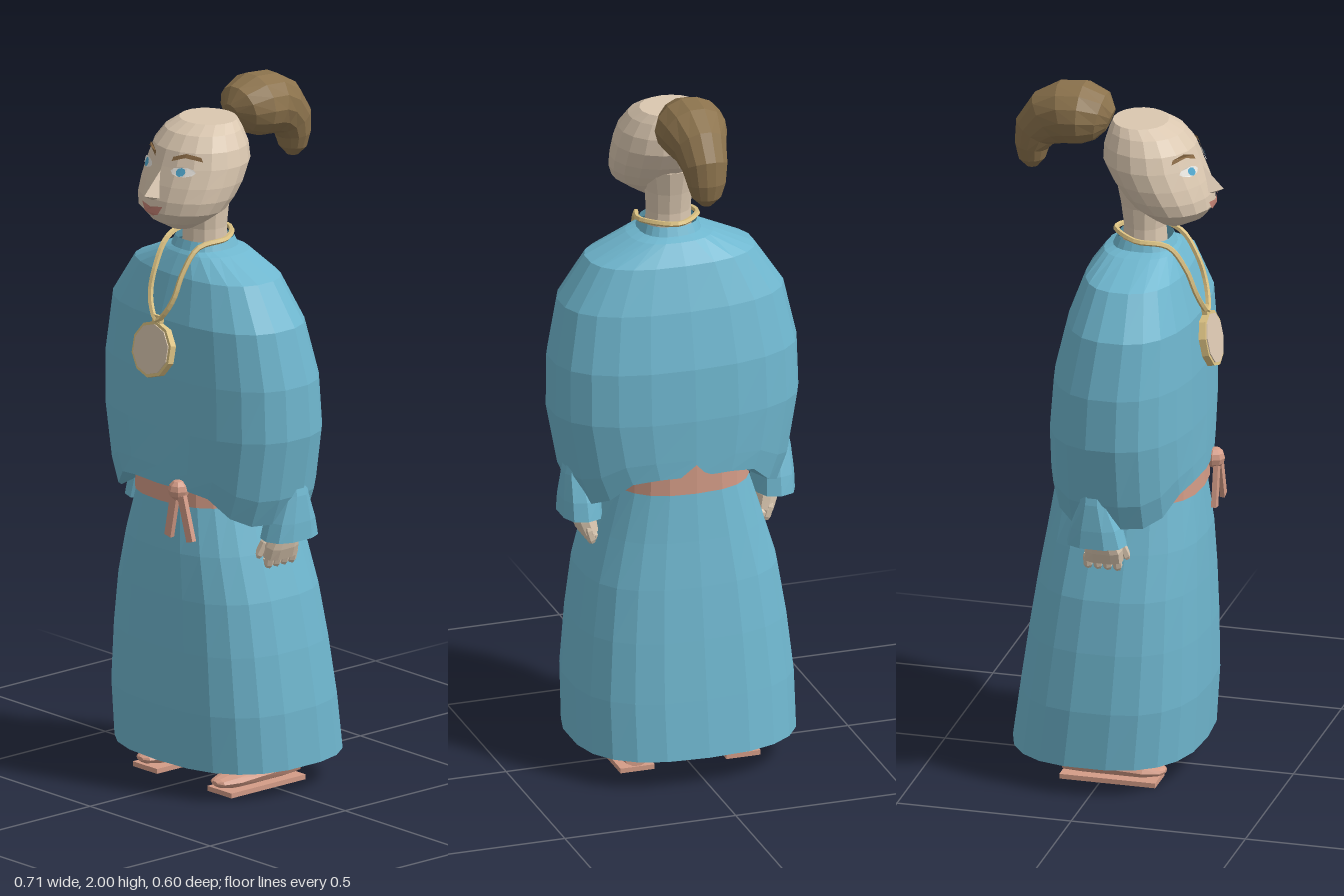
import * as THREE from 'three';
import { ConvexGeometry } from 'three/addons/geometries/ConvexGeometry.js';

const mat = (name, color, open = false) => {
  const m = new THREE.MeshStandardMaterial({ color, flatShading: true });
  m.name = name;
  if (open) m.side = THREE.DoubleSide;
  return m;
};

// Skin over a stack of equal rings of points
function skin(rings, caps = true) {
  const n = rings[0].length, pos = [], idx = [];
  rings.forEach((r) => r.forEach((p) => pos.push(...p)));
  for (let r = 0; r < rings.length - 1; r++) {
    for (let i = 0; i < n; i++) {
      const a = r * n + i, b = r * n + (i + 1) % n;
      idx.push(a, a + n, b, b, a + n, b + n);
    }
  }
  if (caps) {
    [0, rings.length - 1].forEach((r, end) => {
      const c = [0, 1, 2].map((k) => rings[r].reduce((s, p) => s + p[k], 0) / n);
      const ci = pos.length / 3;
      pos.push(...c);
      for (let i = 0; i < n; i++) {
        const a = r * n + i, b = r * n + (i + 1) % n;
        if (end) idx.push(ci, b, a); else idx.push(ci, a, b);
      }
    });
  }
  const g = new THREE.BufferGeometry();
  g.setAttribute('position', new THREE.Float32BufferAttribute(pos, 3));
  g.setIndex(idx);
  const flat = g.toNonIndexed();
  flat.computeVertexNormals();
  return flat;
}

// Horizontal superellipse rings; each row is [y, half width, front z, back z, centre x]
const pw = (v, e) => Math.sign(v) * Math.pow(Math.abs(v), 2 / e);
const rings = (rows, n, e = 2, drop = () => 0) => rows.map(([y, hx, zf, zb, cx = 0], r) =>
  Array.from({ length: n }, (_, i) => {
    const a = ((i + 0.5) / n) * Math.PI * 2, u = pw(Math.cos(a), e);
    return [cx + hx * u, y - drop(r, Math.abs(u)), (zf + zb) / 2 + ((zf - zb) / 2) * pw(Math.sin(a), e)];
  }));

const HEAD = [
  [1.61, 0.03, 0.19, 0.12], [1.64, 0.085, 0.245, 0.085], [1.675, 0.133, 0.272, 0.045],
  [1.71, 0.147, 0.268, 0.015], [1.75, 0.152, 0.255, -0.015], [1.8, 0.15, 0.235, -0.04],
  [1.845, 0.137, 0.218, -0.038], [1.885, 0.112, 0.185, -0.025], [1.908, 0.085, 0.14, -0.015],
];

// Front surface of the face at x, y
function faceZ(x, y) {
  const k = Math.max(1, HEAD.findIndex((h) => h[0] >= y));
  const a = HEAD[k - 1], b = HEAD[k], t = (y - a[0]) / (b[0] - a[0]);
  const [hx, zf, zb] = [1, 2, 3].map((j) => a[j] + (b[j] - a[j]) * t);
  return (zf + zb) / 2 + ((zf - zb) / 2) * Math.sqrt(Math.max(0, 1 - (x / hx) ** 2));
}

// Flat outline wrapped on the face
function patch(points, lift) {
  const g = new THREE.ShapeGeometry(new THREE.Shape(points.map((p) => new THREE.Vector2(...p))));
  const p = g.attributes.position;
  for (let i = 0; i < p.count; i++) p.setZ(i, faceZ(p.getX(i), p.getY(i)) + lift);
  g.computeVertexNormals();
  return g;
}
const oval = (cx, cy, rx, ry, n) => Array.from({ length: n }, (_, i) => {
  const a = (i / n) * Math.PI * 2;
  return [cx + rx * Math.cos(a), cy + ry * Math.sin(a)];
});

export function createModel() {
  const root = new THREE.Group();
  root.name = 'robedFigure';
  const robe = mat('robeBlue', 0x6fb7cf, true);
  const skinTone = mat('skin', 0xdac7b0);
  const salmon = mat('salmonLeather', 0xd49c87);
  const gold = mat('gold', 0xdcc283);
  const hair = mat('hairBrown', 0x8c734d);
  const white = mat('eyeWhite', 0xeeebe4, true);
  const blue = mat('irisBlue', 0x4fa6cc, true);
  const lip = mat('lips', 0xc58274, true);
  const brow = mat('browBrown', 0x8a6a45, true);
  const add = (name, geo, material, parent = root) => {
    const m = new THREE.Mesh(geo, material);
    m.name = name;
    parent.add(m);
    return m;
  };

  // Long skirt, open at the hem
  add('skirt', skin(rings([
    [0.085, 0.32, 0.255, -0.28], [0.25, 0.32, 0.265, -0.257], [0.42, 0.303, 0.264, -0.233],
    [0.57, 0.28, 0.26, -0.21], [0.7, 0.242, 0.255, -0.188], [0.85, 0.195, 0.238, -0.165],
  ], 22, 2.6), false), robe);

  // Sash with knot and two hanging ends
  add('sash', skin(rings([[0.835, 0.203, 0.246, -0.17], [0.92, 0.2, 0.244, -0.168]], 22, 2.6)), salmon);
  const knot = add('sashKnot', new THREE.SphereGeometry(0.03, 8, 6), salmon);
  knot.position.set(0.087, 0.885, 0.25);
  [[0.062, 0.2], [0.122, -0.3]].forEach(([x, tilt]) => {
    const tail = add('sashEnd', new THREE.BoxGeometry(0.026, 0.13, 0.014), salmon);
    tail.position.set(x + 0.008, 0.812, 0.258);
    tail.rotation.z = -tilt;
  });

  // Cape-like upper robe, hanging lower at the sides, turned in at the hem
  const hemDrop = (r, u) => (r > 2 ? 0 : [0.035, 0.088, 0.06][r] * THREE.MathUtils.smoothstep(u, 0.5, 0.95));
  add('upperRobe', skin(rings([
    [0.9, 0.19, 0.235, -0.16], [0.885, 0.292, 0.25, -0.168], [0.935, 0.325, 0.251, -0.168],
    [1.05, 0.358, 0.252, -0.167], [1.2, 0.355, 0.251, -0.155], [1.36, 0.322, 0.242, -0.118],
    [1.48, 0.242, 0.203, -0.075], [1.535, 0.12, 0.172, -0.035], [1.545, 0.088, 0.163, -0.012],
    [1.57, 0.078, 0.152, 0.0],
  ], 22, 2.45, hemDrop), false), robe);

  // Neck and head
  add('neck', skin(rings([
    [1.5, 0.068, 0.14, 0.012], [1.6, 0.063, 0.133, 0.016], [1.66, 0.066, 0.14, 0.008], [1.73, 0.08, 0.15, -0.005],
  ], 12)), skinTone);
  add('head', skin(rings(HEAD, 18)), skinTone);
  add('nose', new ConvexGeometry([
    [0, 1.79, 0.238], [0, 1.724, 0.3], [0.027, 1.714, 0.255], [-0.027, 1.714, 0.255],
    [0, 1.706, 0.266], [0, 1.75, 0.22],
  ].map((p) => new THREE.Vector3(...p))), skinTone);

  // Eyes, brows and mouth
  for (const s of [1, -1]) {
    add('eyeWhite', patch(oval(s * 0.072, 1.795, 0.033, 0.013, 10), 0.004), white);
    add('iris', patch(oval(s * 0.07, 1.795, 0.013, 0.012, 8), 0.007), blue);
    add('brow', patch([
      [0.034, 1.82], [0.07, 1.833], [0.112, 1.824], [0.105, 1.836], [0.07, 1.844], [0.036, 1.832],
    ].map(([x, y]) => [s * x, y]), 0.005), brow);
  }
  add('mouth', patch([
    [-0.042, 1.697], [-0.015, 1.694], [0, 1.69], [0.015, 1.694], [0.042, 1.697],
    [0.026, 1.672], [0, 1.663], [-0.026, 1.672],
  ], 0.006), lip);

  // Hair tail: rings along a drooping path, rows are [y, z, half width, thickness]
  const tail = [
    [1.895, -0.025, 0.03, 0.035], [1.905, -0.05, 0.075, 0.07], [1.911, -0.1, 0.1, 0.088],
    [1.906, -0.15, 0.095, 0.09], [1.884, -0.2, 0.075, 0.082], [1.845, -0.238, 0.064, 0.064],
    [1.8, -0.25, 0.055, 0.048], [1.762, -0.25, 0.042, 0.038], [1.737, -0.249, 0.016, 0.016],
  ];
  add('hairTail', skin(tail.map(([y, z, w, h], k) => {
    const a = tail[Math.max(0, k - 1)], b = tail[Math.min(tail.length - 1, k + 1)];
    const l = Math.hypot(b[0] - a[0], b[1] - a[1]), ty = (b[0] - a[0]) / l, tz = (b[1] - a[1]) / l;
    return Array.from({ length: 14 }, (_, i) => {
      const t = (i / 14) * Math.PI * 2, s = h * Math.sin(t);
      return [w * Math.cos(t), y - tz * s, z + ty * s];
    });
  })), hair);

  // Necklace and pendant
  const half = [[0.03, 1.385, 0.246], [0.05, 1.43, 0.232], [0.056, 1.49, 0.21], [0.066, 1.56, 0.16], [0.084, 1.575, 0.07]];
  const loop = [[0, 1.355, 0.254], ...half, [0, 1.58, -0.008], ...half.map(([x, y, z]) => [-x, y, z]).reverse()];
  add('chain', new THREE.TubeGeometry(
    new THREE.CatmullRomCurve3(loop.map((p) => new THREE.Vector3(...p)), true), 48, 0.008, 5, true), gold);
  const pendant = new THREE.Group();
  pendant.name = 'pendant';
  pendant.position.set(0, 1.275, 0.264);
  pendant.rotation.x = -0.2;
  root.add(pendant);
  add('pendantRim', new THREE.CylinderGeometry(0.08, 0.08, 0.02, 10).rotateX(Math.PI / 2), gold, pendant);
  add('pendantFace', new THREE.CylinderGeometry(0.071, 0.071, 0.006, 10).rotateX(Math.PI / 2), skinTone, pendant)
    .position.z = 0.01;
  add('pendantLoop', new THREE.BoxGeometry(0.032, 0.022, 0.018), gold, pendant).position.y = 0.085;

  for (const s of [1, -1]) {
    // Sleeve cuff
    add('cuff', skin(rings([
      [0.748, 0.058, 0.1, -0.072, s * 0.282], [0.8, 0.056, 0.085, -0.06, s * 0.283],
      [0.875, 0.042, 0.052, -0.032, s * 0.29], [0.95, 0.03, 0.045, -0.025, s * 0.285],
    ], 10, 2.6), false), robe);

    // Hand with curled fingers
    const hand = new THREE.Group();
    hand.name = 'hand';
    hand.position.set(s * 0.27, 0.74, 0.025);
    hand.rotation.z = -s * 0.3;
    root.add(hand);
    add('palm', skin(rings([
      [-0.05, 0.026, 0.058, -0.056], [-0.015, 0.03, 0.058, -0.05], [0.06, 0.025, 0.035, -0.035],
    ], 10, 3)), skinTone, hand);
    for (let f = 0; f < 4; f++) {
      const finger = add('finger', new THREE.CapsuleGeometry(0.0135, 0.03, 2, 6), skinTone, hand);
      finger.position.set(s * 0.006, -0.054, -0.043 + f * 0.028);
      const tip = add('fingerTip', new THREE.CapsuleGeometry(0.012, 0.022, 2, 6), skinTone, hand);
      tip.position.set(-s * 0.016, -0.064, -0.043 + f * 0.028);
      tip.rotation.z = Math.PI / 2;
    }
    const thumb = add('thumb', new THREE.CapsuleGeometry(0.013, 0.04, 2, 6), skinTone, hand);
    thumb.position.set(-s * 0.02, -0.03, 0.055);
    thumb.rotation.x = -0.3;

    // Shoe: upper skinned from heel to toe over a flat sole, rows are [z, half width, bottom, top]
    const shoe = [[-0.113, 0.038, 0.014, 0.07], [-0.06, 0.046, 0.012, 0.073], [0.04, 0.05, 0.012, 0.07],
      [0.12, 0.047, 0.014, 0.058], [0.165, 0.03, 0.022, 0.047], [0.177, 0.012, 0.03, 0.042]];
    add('shoe', skin(shoe.map(([z, w, y0, y1]) => Array.from({ length: 10 }, (_, i) => {
      const a = (i / 10) * Math.PI * 2;
      return [s * 0.155 + w * Math.cos(a), (y0 + y1) / 2 - ((y1 - y0) / 2) * Math.sin(a), z];
    }))), salmon);
    add('sole', new THREE.BoxGeometry(0.1, 0.014, 0.275), salmon).position.set(s * 0.155, 0.007, 0.022);
  }
  return root;
}
